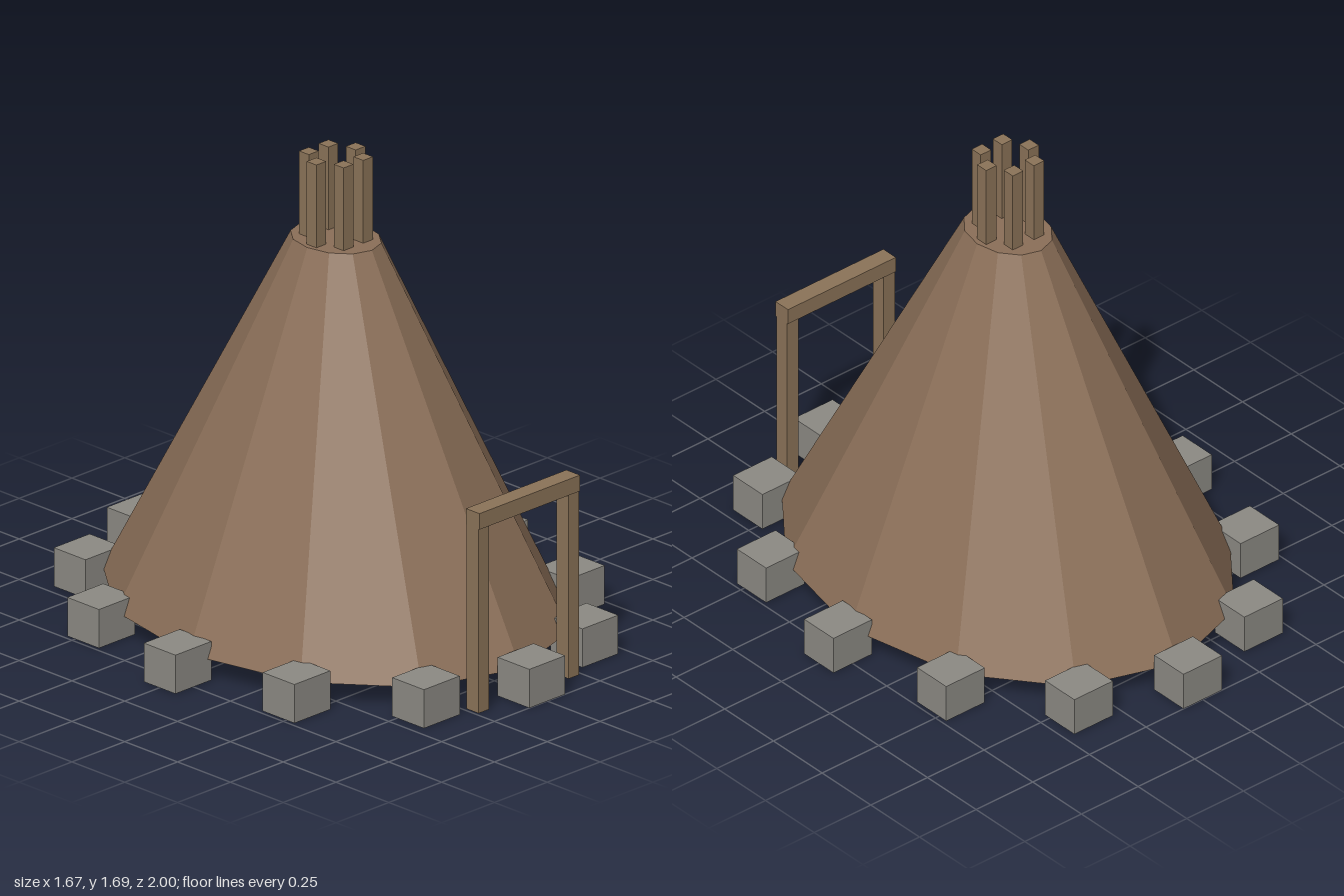
import * as THREE from 'three';

const mat = (color) => new THREE.MeshStandardMaterial({ color, flatShading: true });

export function createModel() {
  const model = new THREE.Group();
  model.name = 'tent';
  const hide = mat(0x8b6f58), wood = mat(0x8b7358), stone = mat(0x8c8a84);

  function add(parent, name, geometry, material, x, y, z) {
    const mesh = new THREE.Mesh(geometry, material);
    mesh.name = name;
    mesh.position.set(x, y, z);
    parent.add(mesh);
    return mesh;
  }
  function group(name) {
    const g = new THREE.Group();
    g.name = name;
    model.add(g);
    return g;
  }

  // Twelve-sided oval cover, raised slightly off the ground
  const cover = new THREE.CylinderGeometry(0.17, 0.873, 1.31, 12);
  cover.scale(0.8, 1, 1);
  add(model, 'cover', cover, hide, 0, 0.735, 0);

  // Ring of stones around the base
  const stones = group('stones');
  const stoneGeo = new THREE.BoxGeometry(0.17, 0.14, 0.15);
  for (let i = 0; i < 12; i++) {
    const a = (i * Math.PI) / 6;
    add(stones, 'stone', stoneGeo, stone, 0.75 * Math.sin(a), 0.07, 0.925 * Math.cos(a));
  }

  // Six upright poles at the peak
  const poles = group('poles');
  const poleGeo = new THREE.BoxGeometry(0.046, 0.32, 0.046);
  for (let i = 0; i < 6; i++) {
    const a = (i * Math.PI) / 3;
    add(poles, 'pole', poleGeo, wood, 0.093 * Math.cos(a), 1.53, 0.095 * Math.sin(a));
  }

  // Free-standing door frame
  const door = group('doorFrame');
  for (const side of [-1, 1]) {
    add(door, 'doorPost', new THREE.BoxGeometry(0.05, 0.667, 0.056), wood, side * 0.213, 0.3335, 0.885);
  }
  add(door, 'doorLintel', new THREE.BoxGeometry(0.476, 0.058, 0.064), wood, 0, 0.696, 0.885);

  return model;
}
